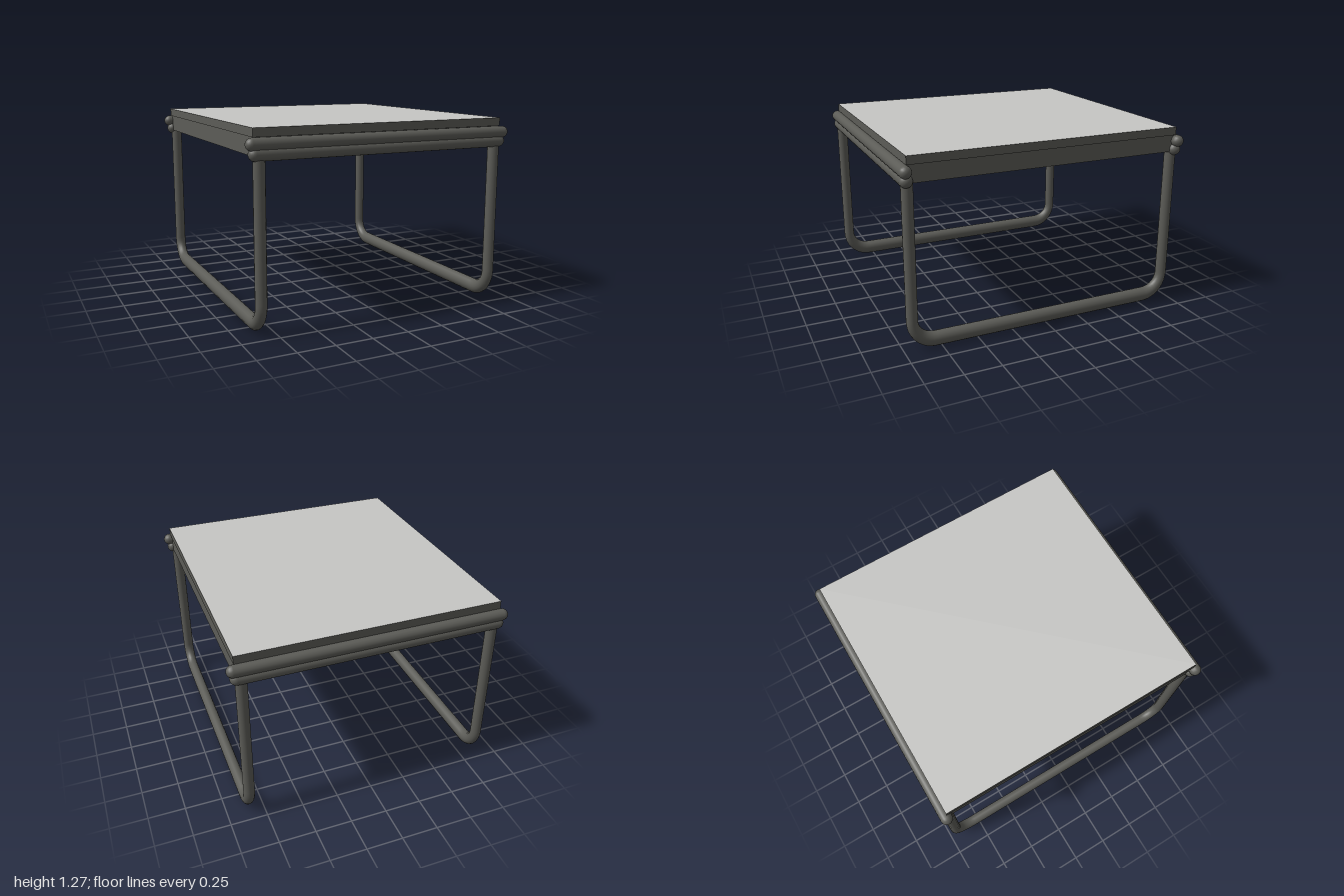
import * as THREE from 'three';

export function createModel() {
  const model = new THREE.Group();
  model.name = 'lowTable';

  const frameMaterial = new THREE.MeshStandardMaterial({ color: 0x5c5c57 });
  frameMaterial.name = 'dark frame';
  const topMaterial = new THREE.MeshStandardMaterial({ color: 0xc6c6c4 });
  topMaterial.name = 'pale top';

  const add = (name, geometry, material, x = 0, y = 0, z = 0) => {
    const mesh = new THREE.Mesh(geometry, material);
    mesh.name = name;
    mesh.position.set(x, y, z);
    model.add(mesh);
    return mesh;
  };

  // Tabletop: dark edges, only the upper face is pale
  const d = frameMaterial;
  add('tabletop', new THREE.BoxGeometry(1.78, 0.055, 1.9), [d, d, topMaterial, d, d, d], 0, 1.2475, 0);

  // Shallow apron with a closed underside
  add('apron', new THREE.BoxGeometry(1.765, 0.115, 1.88), frameMaterial, 0, 1.1625, 0);

  // Paired round-ended rails along the front and back
  const rail = (name, radius, halfLength, y, z) => {
    const geometry = new THREE.CapsuleGeometry(radius, 2 * (halfLength - radius), 6, 16);
    geometry.rotateZ(Math.PI / 2);
    add(name, geometry, frameMaterial, 0, y, z);
  };
  for (const [side, s] of [['front', 1], ['back', -1]]) {
    rail(side + 'UpperRail', 0.04, 0.94, 1.18, s * 0.96);
    rail(side + 'LowerRail', 0.042, 0.92, 1.12, s * 0.952);
  }

  // U-shaped leg path in the yz plane, with rounded lower corners
  const v = (y, z) => new THREE.Vector3(0, y, z);
  const top = 1.13, low = 0.052, out = 0.94, bend = 0.15, k = bend * 0.45;
  const path = new THREE.CurvePath();
  path.add(new THREE.LineCurve3(v(top, out), v(low + bend, out)));
  path.add(new THREE.CubicBezierCurve3(v(low + bend, out), v(low + k, out), v(low, out - k), v(low, out - bend)));
  path.add(new THREE.LineCurve3(v(low, out - bend), v(low, bend - out)));
  path.add(new THREE.CubicBezierCurve3(v(low, bend - out), v(low, k - out), v(low + k, -out), v(low + bend, -out)));
  path.add(new THREE.LineCurve3(v(low + bend, -out), v(top, -out)));

  // The floor bar is taller than wide: stretch each ring's height about its centre
  const segments = 140, sides = 16;
  const legGeometry = new THREE.TubeGeometry(path, segments, 0.038, sides, false);
  const position = legGeometry.attributes.position;
  for (let i = 0; i <= segments; i++) {
    const centre = path.getPointAt(i / segments);
    for (let j = 0; j <= sides; j++) {
      const n = i * (sides + 1) + j;
      position.setY(n, centre.y + (position.getY(n) - centre.y) * 1.35);
    }
  }
  legGeometry.computeBoundingSphere();
  add('leftLegLoop', legGeometry, frameMaterial, 0.85);
  add('rightLegLoop', legGeometry, frameMaterial, -0.85);

  return model;
}
